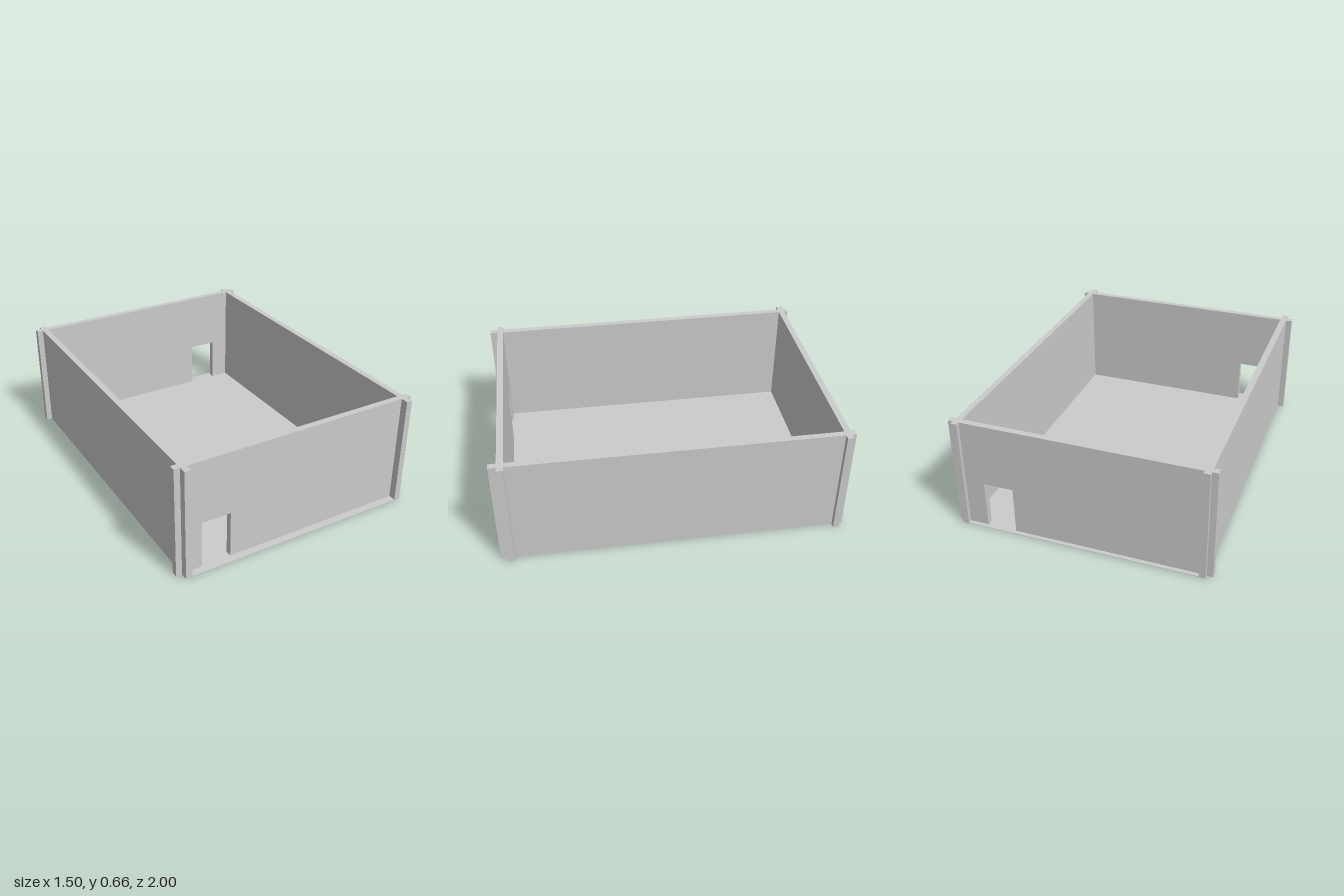
import * as THREE from 'three';

const HEIGHT = 0.66;
const LAP = HEIGHT / 2;
const DOOR_HEIGHT = 0.285;
// Thickness ranges of the interlocking walls: side walls along x, end walls along z
const SIDES = { rightWall: [-0.715, -0.677], leftWall: [0.685, 0.721] };
const ENDS = { backWall: [-0.977, -0.94], frontWall: [0.919, 0.956] };
const DOORS = { backWall: [0.397, 0.572], frontWall: [-0.595, -0.422] };

const polygon = (points) => new THREE.Shape(points.map(([x, y]) => new THREE.Vector2(x, y)));

const material = new THREE.MeshStandardMaterial({ color: 0xcccccc, flatShading: true });

function addMesh(group, name, geometry) {
  const mesh = new THREE.Mesh(geometry, material);
  mesh.name = name;
  group.add(mesh);
  return mesh;
}

const extrude = (points, depth) =>
  new THREE.ExtrudeGeometry(polygon(points), { depth, bevelEnabled: false });

// Rectangular cut of a given height rising from the bottom edge
const cut = ([a, b], h) => [[a, 0], [a, h], [b, h], [b, 0]];

export function createModel() {
  const model = new THREE.Group();
  model.name = 'openBox';

  // End walls: half-lap slots from below plus a doorway
  for (const [name, [z0, z1]] of Object.entries(ENDS)) {
    const cuts = [
      [SIDES.rightWall, LAP],
      [DOORS[name], DOOR_HEIGHT],
      [SIDES.leftWall, LAP],
    ].flatMap(([range, h]) => cut(range, h));
    const outline = [[-0.75, 0], ...cuts, [0.75, 0], [0.75, HEIGHT], [-0.75, HEIGHT]];
    addMesh(model, name, extrude(outline, z1 - z0)).position.z = z0;
  }

  // Side walls: matching half-lap slots from above, outline drawn along z
  for (const [name, [x0, x1]] of Object.entries(SIDES)) {
    const slots = [ENDS.frontWall, ENDS.backWall].flatMap(([a, b]) =>
      [[b, HEIGHT], [b, LAP], [a, LAP], [a, HEIGHT]]);
    const outline = [[-1, 0], [1, 0], [1, HEIGHT], ...slots, [-1, HEIGHT]];
    const geometry = extrude(outline.map(([z, y]) => [-z, y]), x1 - x0);
    geometry.rotateY(Math.PI / 2);
    addMesh(model, name, geometry).position.x = x0;
  }

  // Thin floor sheet just above the bottom edges of the walls
  const x0 = SIDES.rightWall[0];
  const x1 = SIDES.leftWall[1];
  const floor = addMesh(model, 'floor', new THREE.BoxGeometry(x1 - x0, 0.002, 2));
  floor.position.set((x0 + x1) / 2, 0.004, 0);

  return model;
}
